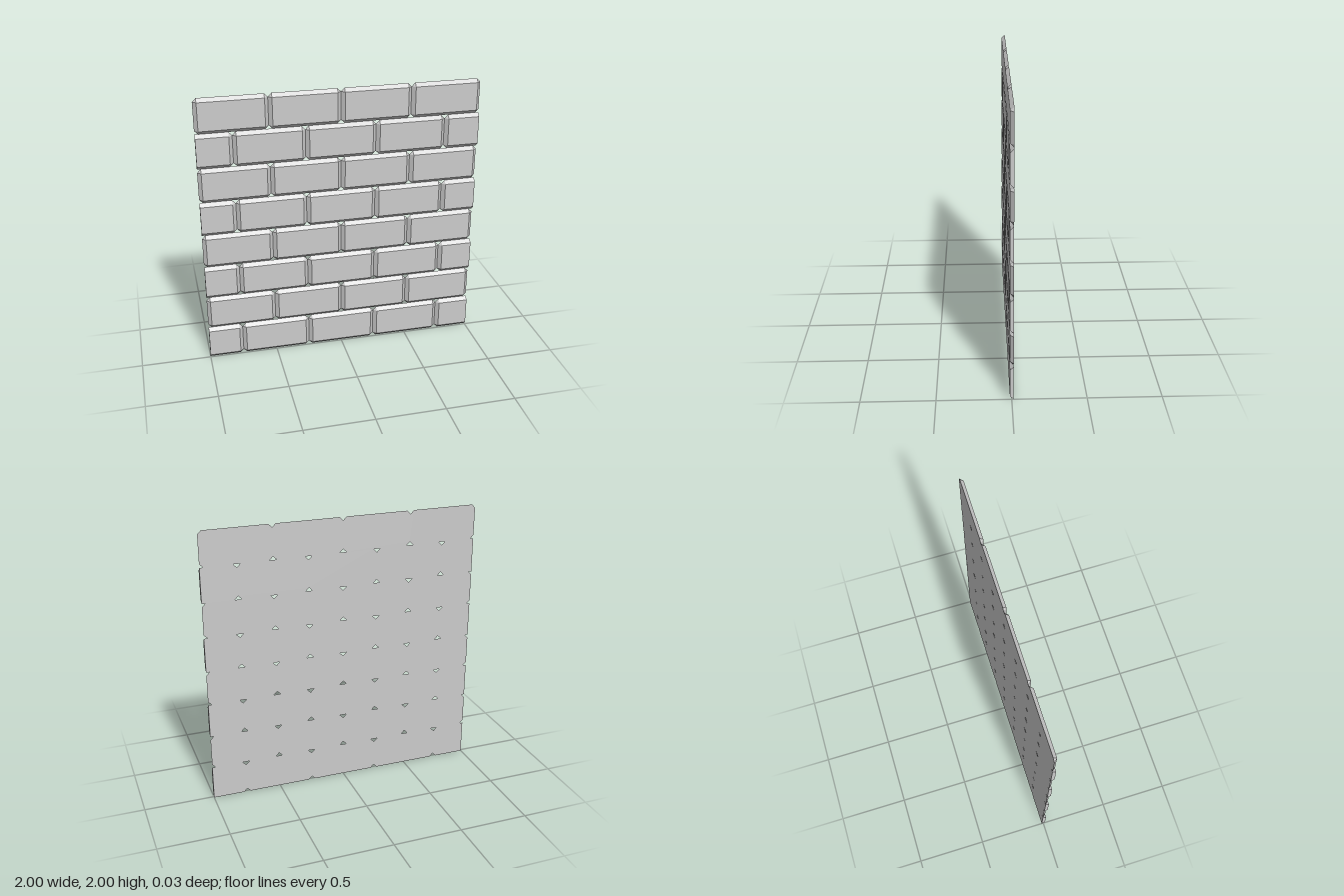
import * as THREE from 'three';
import { ConvexGeometry } from 'three/addons/geometries/ConvexGeometry.js';

const ROWS = 8, BRICK_W = 0.5, BRICK_H = 0.25, BEVEL = 0.025, Z = 0.0125;

// Half of a bevelled brick block; cutLeft / cutRight leave that end square.
function brickGeometry(width, cutLeft, cutRight) {
  const points = [];
  for (const [sx, cut] of [[-1, cutLeft], [1, cutRight]]) {
    const x = sx * width / 2;
    const inner = cut ? x : x - sx * BEVEL;
    for (const sy of [-1, 1]) {
      const y = sy * BRICK_H / 2;
      points.push(new THREE.Vector3(inner, y - sy * BEVEL, Z)); // front corner
      points.push(new THREE.Vector3(inner, y, -Z)); // back corner, clipped at 45 degrees
      if (!cut) points.push(new THREE.Vector3(x, y - sy * BEVEL, -Z));
    }
  }
  return new ConvexGeometry(points);
}

export function createModel() {
  const wall = new THREE.Group();
  wall.name = 'brickWall';
  const material = new THREE.MeshStandardMaterial({ color: 0xcccccc, flatShading: true });
  const full = brickGeometry(BRICK_W, false, false);
  const leftHalf = brickGeometry(BRICK_W / 2, true, false);
  const rightHalf = brickGeometry(BRICK_W / 2, false, true);

  const addBrick = (row, geometry, x, name) => {
    const brick = new THREE.Mesh(geometry, material);
    brick.name = name;
    brick.position.x = x;
    row.add(brick);
  };

  // Running bond: even courses start and end with a half brick
  for (let r = 0; r < ROWS; r++) {
    const row = new THREE.Group();
    row.name = `course${r + 1}`;
    row.position.y = (r + 0.5) * BRICK_H;
    const offset = r % 2 === 0;
    const count = offset ? 3 : 4;
    for (let i = 0; i < count; i++) addBrick(row, full, (i - (count - 1) / 2) * BRICK_W, 'brick');
    if (offset) {
      addBrick(row, leftHalf, -0.875, 'halfBrick');
      addBrick(row, rightHalf, 0.875, 'halfBrick');
    }
    wall.add(row);
  }
  return wall;
}
